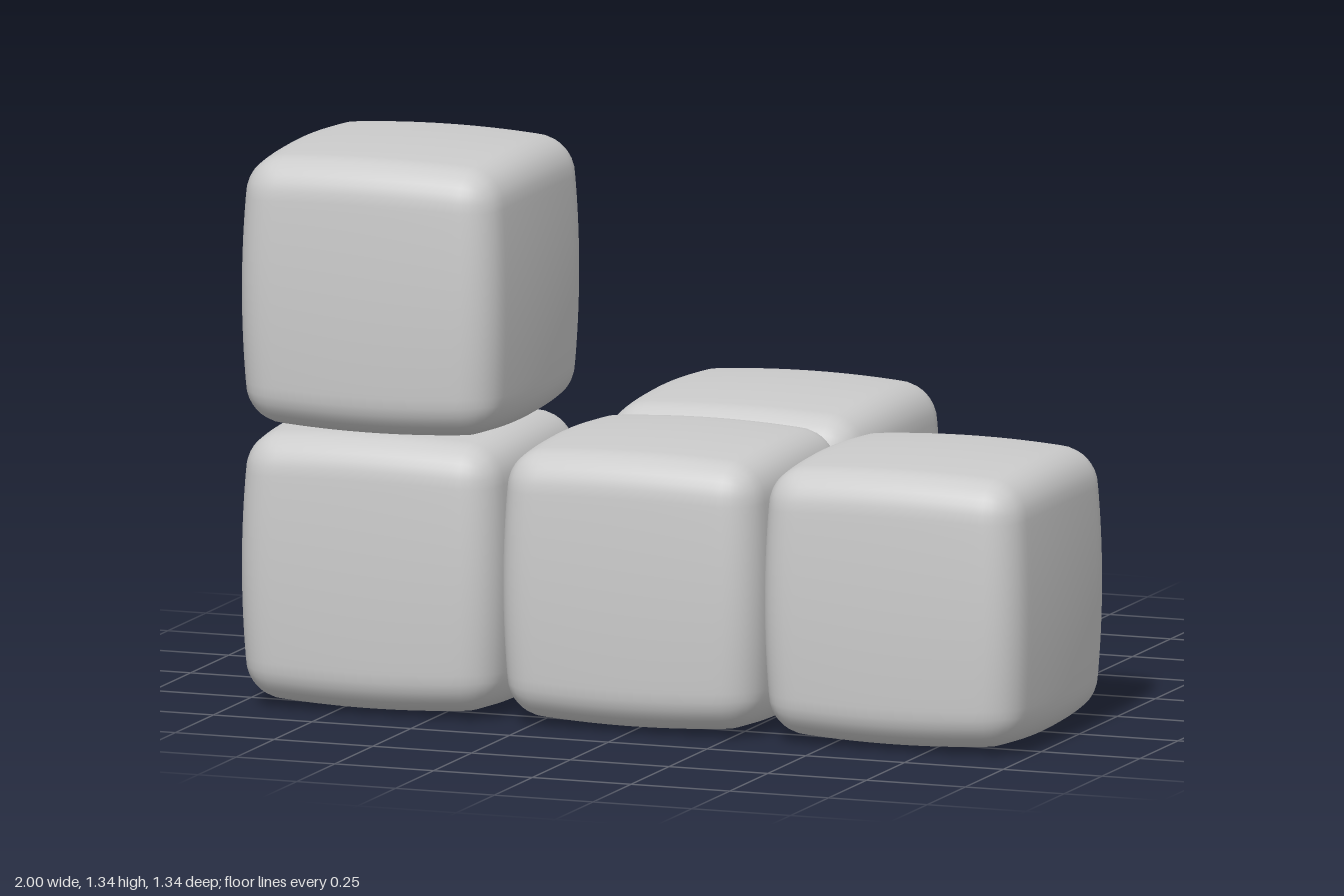
import * as THREE from 'three';
import { mergeVertices } from 'three/addons/utils/BufferGeometryUtils.js';

const PITCH = 0.662;   // spacing of neighbouring cubes
const HALF = 0.338;    // half a cube at the middle of its faces
const BULGE = 0.03;    // how far faces swell beyond the corners
const RADIUS = 0.075;  // edge rounding

// Pillow-like cube: rounded edges and gently swollen faces
function pillowCube() {
  const h = HALF - BULGE;
  const box = new THREE.BoxGeometry(2 * h, 2 * h, 2 * h, 28, 28, 28);
  box.deleteAttribute('uv');
  box.deleteAttribute('normal');
  const geo = mergeVertices(box);
  const pos = geo.attributes.position;
  const p = new THREE.Vector3();
  const inner = new THREE.Vector3();
  const core = h - RADIUS;
  for (let i = 0; i < pos.count; i++) {
    // round the edges
    p.fromBufferAttribute(pos, i);
    inner.copy(p).clampScalar(-core, core);
    p.sub(inner).setLength(RADIUS).add(inner);
    // swell each axis towards the middle of the other two
    const x = p.x / h, y = p.y / h, z = p.z / h;
    const swell = (a, b) => BULGE * (1 - (a * a + b * b) / 2);
    pos.setXYZ(i, p.x + x * swell(y, z), p.y + y * swell(x, z), p.z + z * swell(x, y));
  }
  geo.computeVertexNormals();
  return geo;
}

export function createModel() {
  const group = new THREE.Group();
  group.name = 'cubePuzzlePiece';
  const geometry = pillowCube();
  const material = new THREE.MeshStandardMaterial({ color: 0xcccccc });

  // Grid cells: column (x), storey (y), row (z)
  const cells = {
    rightCube: [-1, 0, 0.5],
    middleCube: [0, 0, 0.5],
    leftCube: [1, 0, 0.5],
    upperCube: [-1, 1, 0.5],
    backCube: [0, 0, -0.5],
  };
  for (const [name, [cx, cy, cz]] of Object.entries(cells)) {
    const cube = new THREE.Mesh(geometry, material);
    cube.name = name;
    cube.position.set(cx * PITCH, HALF + cy * PITCH, cz * PITCH);
    group.add(cube);
  }
  return group;
}
